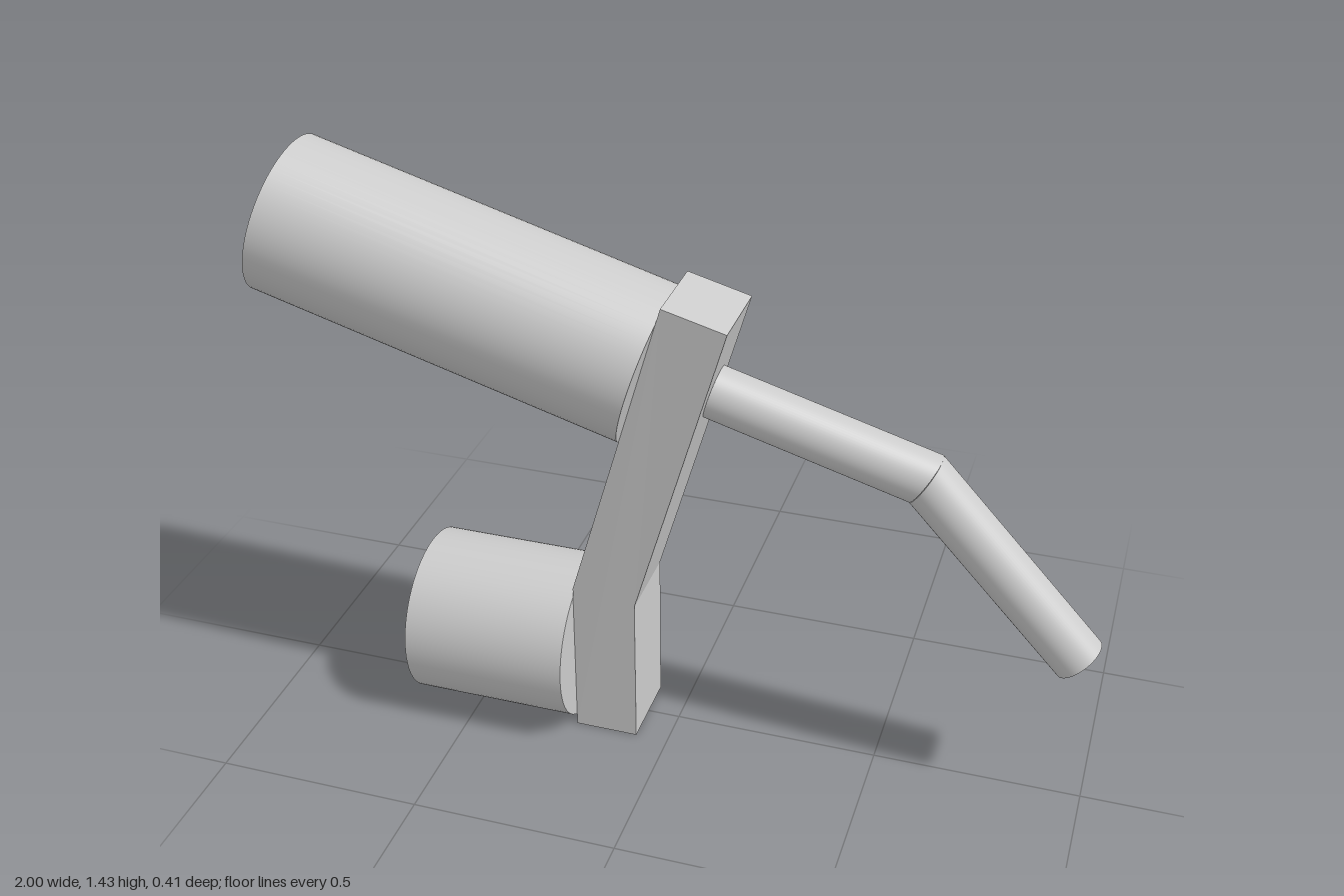
import * as THREE from 'three';

const material = new THREE.MeshStandardMaterial({ color: 0xcccccc });

// Round bar between two points; the shears tilt its end faces to form a mitre.
function bar(name, from, to, radius, startShear = 0, endShear = 0) {
  const a = new THREE.Vector3(...from);
  const b = new THREE.Vector3(...to);
  const length = a.distanceTo(b);
  const geometry = new THREE.CylinderGeometry(radius, radius, length, 64);
  const pos = geometry.attributes.position;
  for (let i = 0; i < pos.count; i++) {
    const shear = pos.getY(i) < 0 ? startShear : endShear;
    pos.setY(i, pos.getY(i) + pos.getX(i) * shear);
  }
  const mesh = new THREE.Mesh(geometry, material);
  mesh.name = name;
  mesh.position.copy(a).add(b).multiplyScalar(0.5);
  mesh.quaternion.setFromUnitVectors(new THREE.Vector3(0, 1, 0), b.sub(a).normalize());
  return mesh;
}

export function createModel() {
  const group = new THREE.Group();

  // Bent rectangular arm, leaning very slightly forward above the bend
  const outline = [[-0.235, 0], [-0.08, 0], [-0.08, 0.39], [0.14, 1.15], [-0.01, 1.19], [-0.235, 0.41]];
  const shape = new THREE.Shape(outline.map(([x, y]) => new THREE.Vector2(x, y)));
  const armGeometry = new THREE.ExtrudeGeometry(shape, { depth: 0.2, bevelEnabled: false });
  armGeometry.translate(0, 0, -0.1);
  const pos = armGeometry.attributes.position;
  for (let i = 0; i < pos.count; i++) {
    if (pos.getY(i) > 0.5) pos.setZ(i, pos.getZ(i) + 0.005);
  }
  armGeometry.computeVertexNormals();
  const arm = new THREE.Mesh(armGeometry, material);
  arm.name = 'arm';
  group.add(arm);

  // Large tilted cylinder and short horizontal one, both on the right of the arm
  group.add(bar('upperCylinder', [-0.948, 1.251, 0.004], [-0.066, 0.996, 0.004], 0.19));
  group.add(bar('lowerCylinder', [-0.64, 0.208, 0.002], [-0.235, 0.208, 0.002], 0.203));

  // Thin rod with a mitred bend, on the left of the arm
  const start = [0.083, 0.952, 0.004];
  const bend = [0.573, 0.811, 0.002];
  const end = [0.953, 0.395, -0.006];
  const angle = (p, q) => Math.atan2(q[1] - p[1], q[0] - p[0]);
  const mitre = Math.tan((angle(start, bend) - angle(bend, end)) / 2);
  const rod = new THREE.Group();
  rod.name = 'bentRod';
  rod.add(bar('rodInner', start, bend, 0.063, 0, -mitre));
  rod.add(bar('rodOuter', bend, end, 0.063, mitre, 0));
  group.add(rod);

  return group;
}
